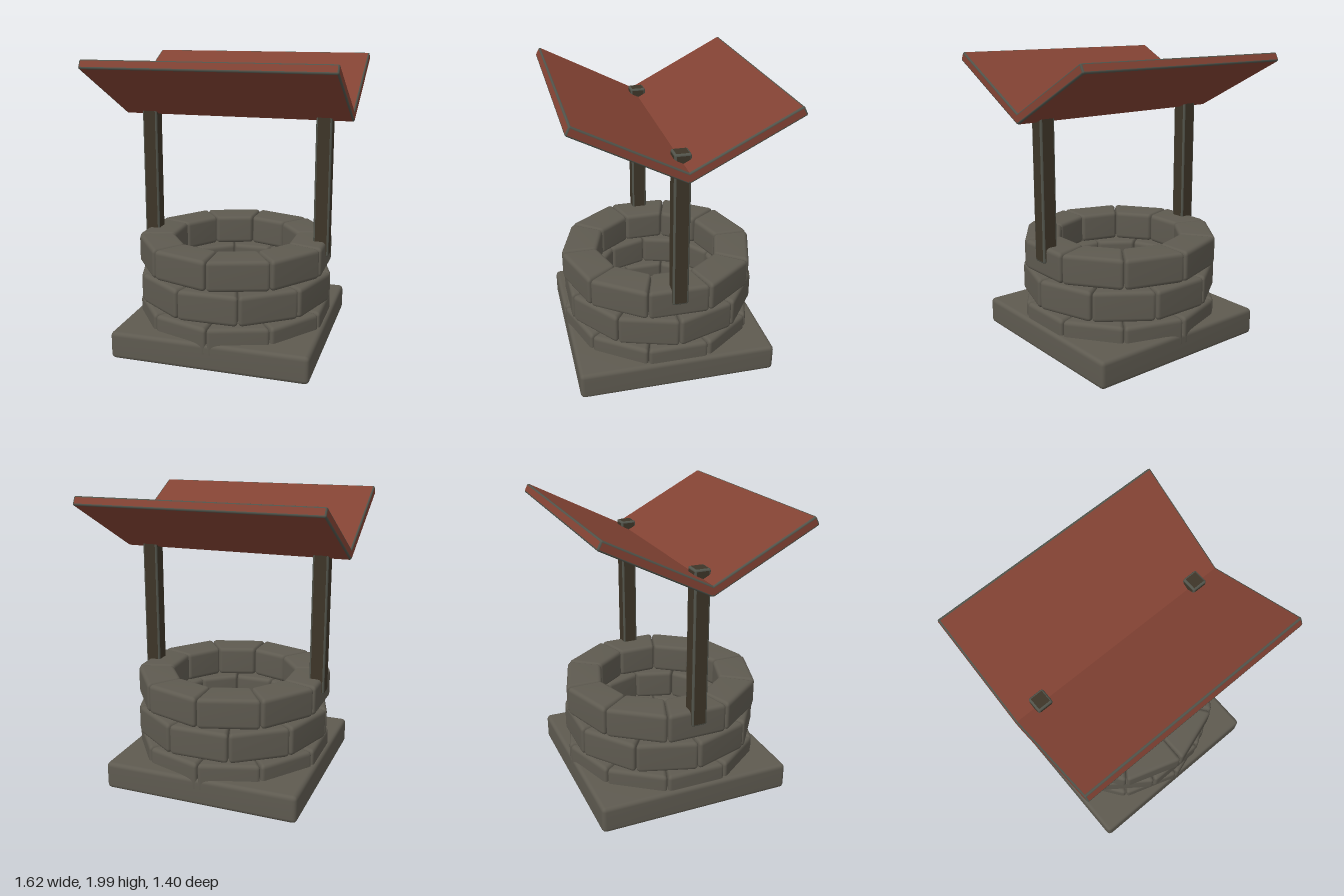
import * as THREE from 'three';
import { RoundedBoxGeometry } from 'three/addons/geometries/RoundedBoxGeometry.js';
import { mergeVertices } from 'three/addons/utils/BufferGeometryUtils.js';

const material = (name, color) => Object.assign(new THREE.MeshStandardMaterial({ color }), { name });

// Soft stone block; taper narrows it toward its inner (-z) side
function stoneGeometry(w, h, d, bevel, taper = () => 1) {
  let geo = new RoundedBoxGeometry(w, h, d, 2, bevel);
  geo.deleteAttribute('normal');
  geo.deleteAttribute('uv');
  const p = geo.attributes.position;
  for (let i = 0; i < p.count; i++) p.setX(i, p.getX(i) * taper(p.getZ(i)));
  geo = mergeVertices(geo, 1e-4);
  geo.clearGroups();
  geo.computeVertexNormals();
  return geo;
}

// Bevelled board: flat faces use material 0, bevels use material 1
function boardGeometry(w, h, d, bevel) {
  const geo = new RoundedBoxGeometry(w, h, d, 1, bevel);
  geo.clearGroups();
  const p = geo.attributes.position;
  const tri = new THREE.Triangle(), n = new THREE.Vector3();
  for (let i = 0; i < p.count; i += 3) {
    tri.setFromAttributeAndIndices(p, i, i + 1, i + 2).getNormal(n);
    const flat = Math.max(Math.abs(n.x), Math.abs(n.y), Math.abs(n.z)) > 0.999;
    geo.addGroup(i, 3, flat ? 0 : 1);
  }
  return geo;
}

export function createModel() {
  const stone = material('stone', 0x5e5a50);
  const roofRed = material('roofRed', 0x824233);
  const darkWood = material('darkWood', 0x3d3528);
  const wornEdge = material('wornEdge', 0x52544b);

  const well = new THREE.Group();
  well.name = 'well';
  const add = (parent, name, geo, mat) => {
    const mesh = new THREE.Mesh(geo, mat);
    mesh.name = name;
    parent.add(mesh);
    return mesh;
  };

  // Square base slab
  add(well, 'baseSlab', stoneGeometry(1.36, 0.19, 1.36, 0.03), stone).position.y = 0.095;

  // Three rings of ten wedge stones, the middle ring turned half a stone
  const count = 10, outer = 0.656, depth = 0.245, mid = outer - depth / 2;
  const width = 2 * outer * Math.tan(Math.PI / count) - 0.004;
  const wedge = stoneGeometry(width, 0.208, depth, 0.03, z => (mid + z) / outer);
  [0.195, 0.425, 0.652].forEach((y, row) => {
    const ring = new THREE.Group();
    ring.name = 'stoneRing' + (row + 1);
    for (let i = 0; i < count; i++) {
      const a = (i + (row === 1 ? 0 : 0.5)) * 2 * Math.PI / count;
      const block = add(ring, 'ringStone', wedge, stone);
      block.position.set(Math.sin(a) * mid, y, Math.cos(a) * mid);
      block.rotation.y = a;
    }
    well.add(ring);
  });

  // Posts
  const postGeo = boardGeometry(0.108, 1.06, 0.108, 0.013);
  for (const side of [1, -1]) {
    add(well, side > 0 ? 'leftPost' : 'rightPost', postGeo, [darkWood, wornEdge])
      .position.set(side * 0.62, 1.18, 0);
  }

  // V-shaped roof: two panels rising outward from the centre line
  const tilt = THREE.MathUtils.degToRad(27.3), length = 0.79, thick = 0.064;
  const panelGeo = boardGeometry(1.624, thick, length, 0.011);
  for (const side of [1, -1]) {
    const half = new THREE.Group();
    half.name = side > 0 ? 'frontRoof' : 'backRoof';
    half.rotation.y = side > 0 ? 0 : Math.PI;
    const panel = add(half, 'roofPanel', panelGeo, [roofRed, wornEdge]);
    const c = Math.cos(tilt), s = Math.sin(tilt);
    panel.rotation.x = -tilt;
    panel.position.set(0, 1.578 + s * length / 2 + c * thick / 2, c * length / 2 - s * thick / 2);
    well.add(half);
  }
  return well;
}
